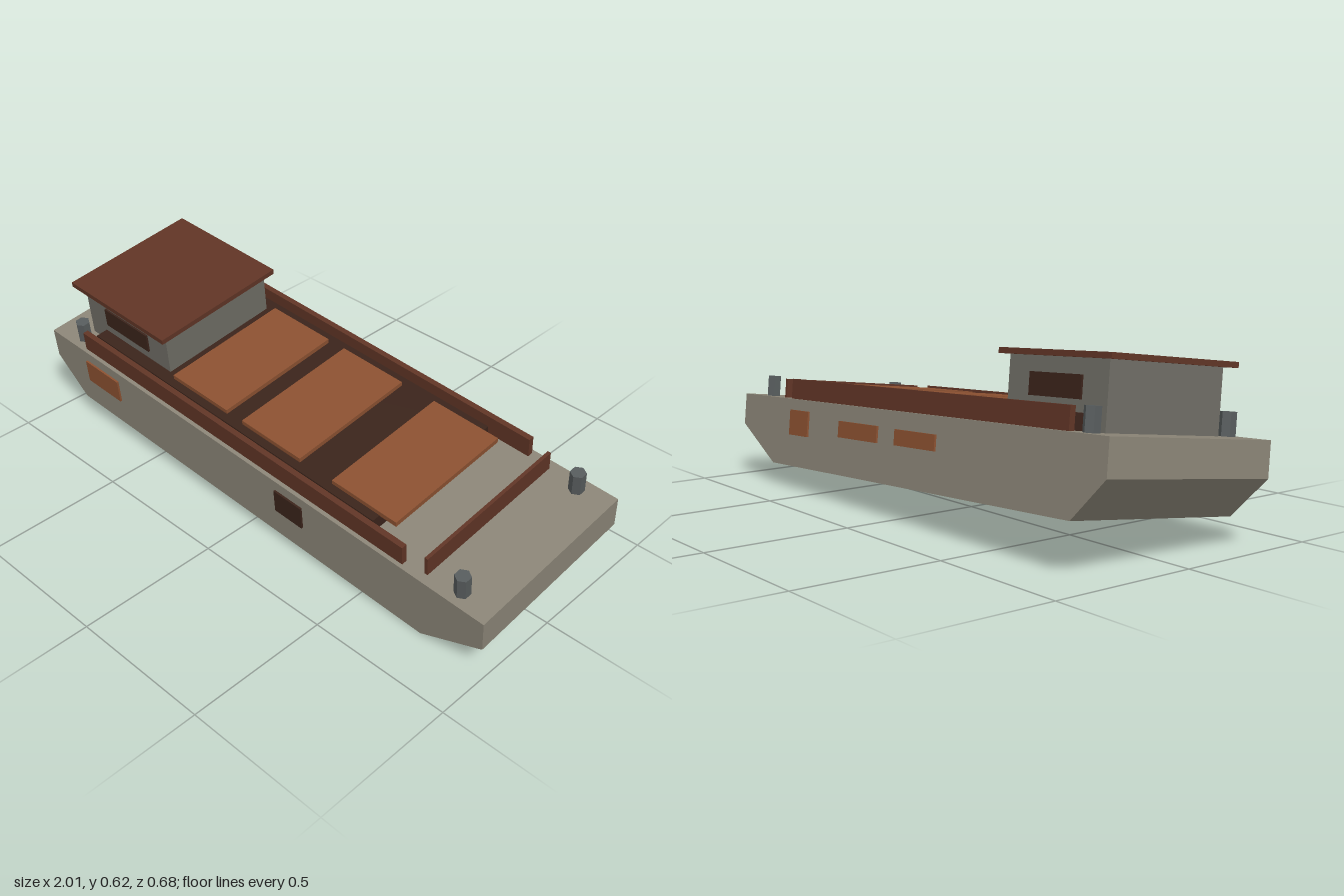
import * as THREE from 'three';

const mat = (color) => new THREE.MeshStandardMaterial({ color, flatShading: true });

export function createModel() {
  const hullMat = mat(0x8a8476), cabinMat = mat(0x6e6c64), rustMat = mat(0x5f3425);
  const hatchMat = mat(0x8a5030), darkMat = mat(0x3a231a), ironMat = mat(0x565b5c);

  // The barge is modelled level with its deck at y = 0, then listed as a whole
  const barge = new THREE.Group();
  barge.name = 'barge';

  const add = (name, geometry, material, x, y, z) => {
    const mesh = new THREE.Mesh(geometry, material);
    mesh.name = name;
    mesh.position.set(x, y, z);
    barge.add(mesh);
    return mesh;
  };
  // Box placed by its centre in x and z and by its underside in y
  const box = (name, material, [w, h, d], x, y, z) =>
    add(name, new THREE.BoxGeometry(w, h, d), material, x, y + h / 2, z);

  // Hull: side profile with raked ends, extruded across the beam
  const beam = 0.654;
  const profile = new THREE.Shape([
    [-1, 0], [-1, -0.114], [-0.867, -0.242], [0.765, -0.242], [1, -0.114], [1, 0],
  ].map(([x, y]) => new THREE.Vector2(x, y)));
  add('hull', new THREE.ExtrudeGeometry(profile, { depth: beam, bevelEnabled: false }),
    hullMat, 0, 0, -beam / 2);

  // Cargo hold with three hatch covers
  box('hold', darkMat, [1.33, 0.05, 0.55], -0.135, 0, 0);
  for (const x of [-0.283, 0.057, 0.464])
    box('hatchCover', hatchMat, [0.266, 0.018, 0.485], x, 0.048, 0.003);

  // Cabin and roof
  box('cabin', cabinMat, [0.43, 0.206, 0.46], -0.667, 0, 0);
  box('cabinRoof', rustMat, [0.487, 0.018, 0.518], -0.67, 0.205, 0.003);

  // Breakwater across the bow
  box('breakwater', rustMat, [0.012, 0.069, 0.588], 0.757, 0, 0);

  // Paired side parts: bulwarks, cabin windows, mooring posts
  for (const side of [1, -1]) {
    box('bulwark', rustMat, [1.505, 0.072, 0.02], -0.072, 0, side * 0.303);
    box('cabinWindow', darkMat, [0.225, 0.07, 0.012], -0.666, 0.087, side * 0.231);
    for (const x of [-0.875, 0.88])
      add('mooringPost', new THREE.CylinderGeometry(0.026, 0.026, 0.075, 6),
        ironMat, x, 0.0375, side * 0.276);
  }

  // Patches on the hull sides: x, width, height, side, material
  for (const [x, w, h, side, material] of [
    [-0.725, 0.175, 0.09, 1, hatchMat],
    [0.211, 0.12, 0.09, 1, darkMat],
    [-0.127, 0.22, 0.052, -1, hatchMat],
    [0.203, 0.235, 0.056, -1, hatchMat],
    [0.588, 0.125, 0.09, -1, hatchMat],
  ]) box('hullPatch', material, [w, h, 0.014], x, -0.084 - h / 2, side * beam / 2);

  // List to the front and trim by the bow
  barge.rotation.set(THREE.MathUtils.degToRad(7), 0, THREE.MathUtils.degToRad(-3), 'ZXY');
  barge.position.set(0, 0.32, 0.0115);

  const model = new THREE.Group();
  model.name = 'cargoBarge';
  model.add(barge);
  return model;
}
